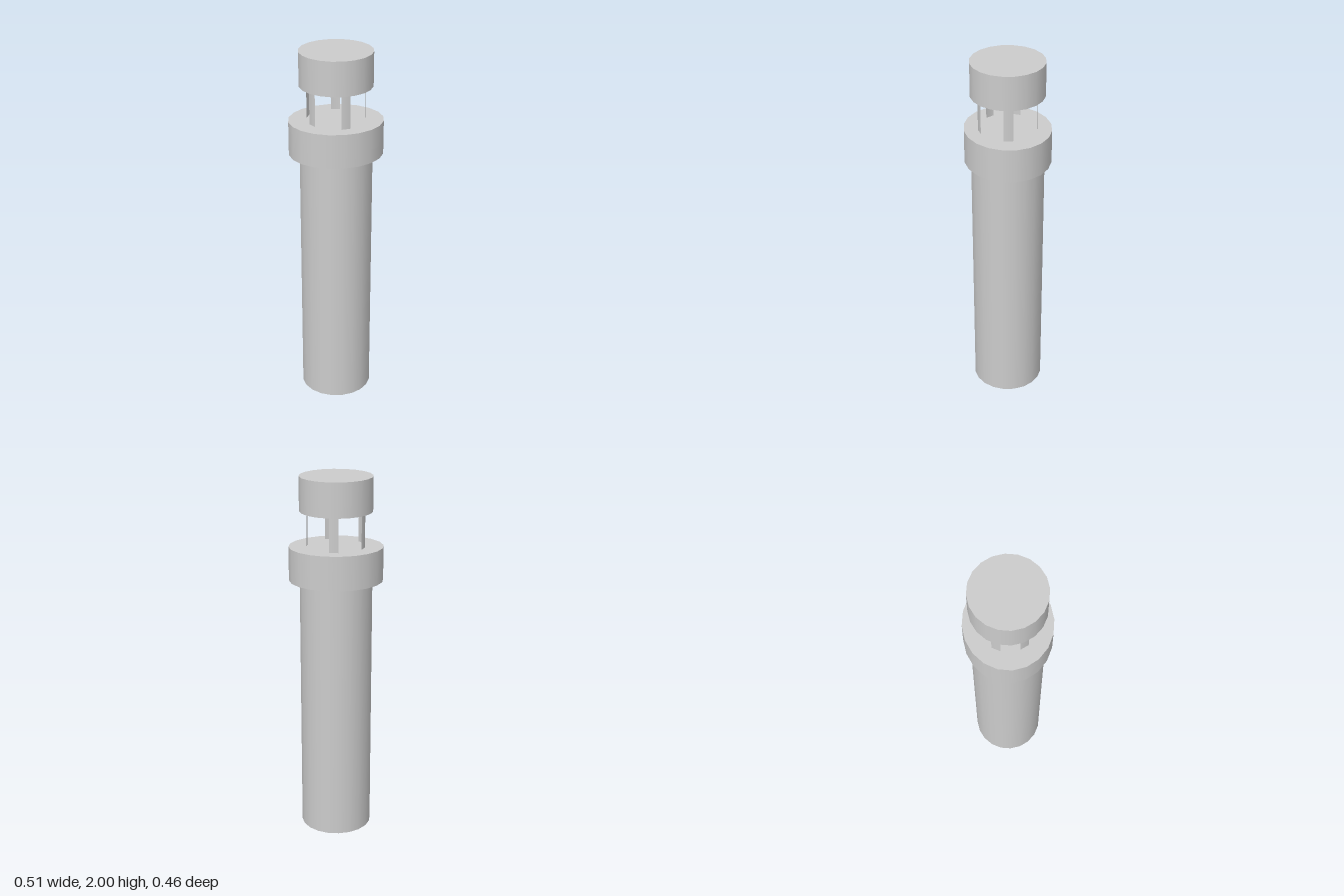
import * as THREE from 'three';

const SIDES = 20;
const STEP = (Math.PI * 2) / SIDES;

export function createModel() {
  const group = new THREE.Group();
  const material = new THREE.MeshStandardMaterial({ color: 0xcccccc });
  const thin = new THREE.MeshStandardMaterial({ color: 0xcccccc, side: THREE.DoubleSide });

  // Upright 20-sided drum between two heights
  function drum(name, radius, y0, y1, depthScale = 1) {
    const geometry = new THREE.CylinderGeometry(radius, radius, y1 - y0, SIDES);
    geometry.scale(1, 1, depthScale);
    geometry.translate(0, (y0 + y1) / 2, 0);
    const mesh = new THREE.Mesh(geometry, material);
    mesh.name = name;
    group.add(mesh);
  }

  drum('post', 0.196, 0, 1.44);
  drum('collar', 0.254, 1.44, 1.625, 0.231 / 0.254); // slightly oval
  drum('cap', 0.196, 1.815, 2);

  // Thin strips holding up the cap, each one facet of a 20-sided ring
  const struts = new THREE.Group();
  struts.name = 'capStruts';
  for (const facet of [0, 4, 9, 13, 16]) {
    const geometry = new THREE.CylinderGeometry(0.157, 0.157, 0.19, 1, 1, true, facet * STEP, STEP);
    geometry.translate(0, 1.72, 0);
    const strut = new THREE.Mesh(geometry, thin);
    strut.name = 'strut';
    struts.add(strut);
  }
  group.add(struts);

  return group;
}
